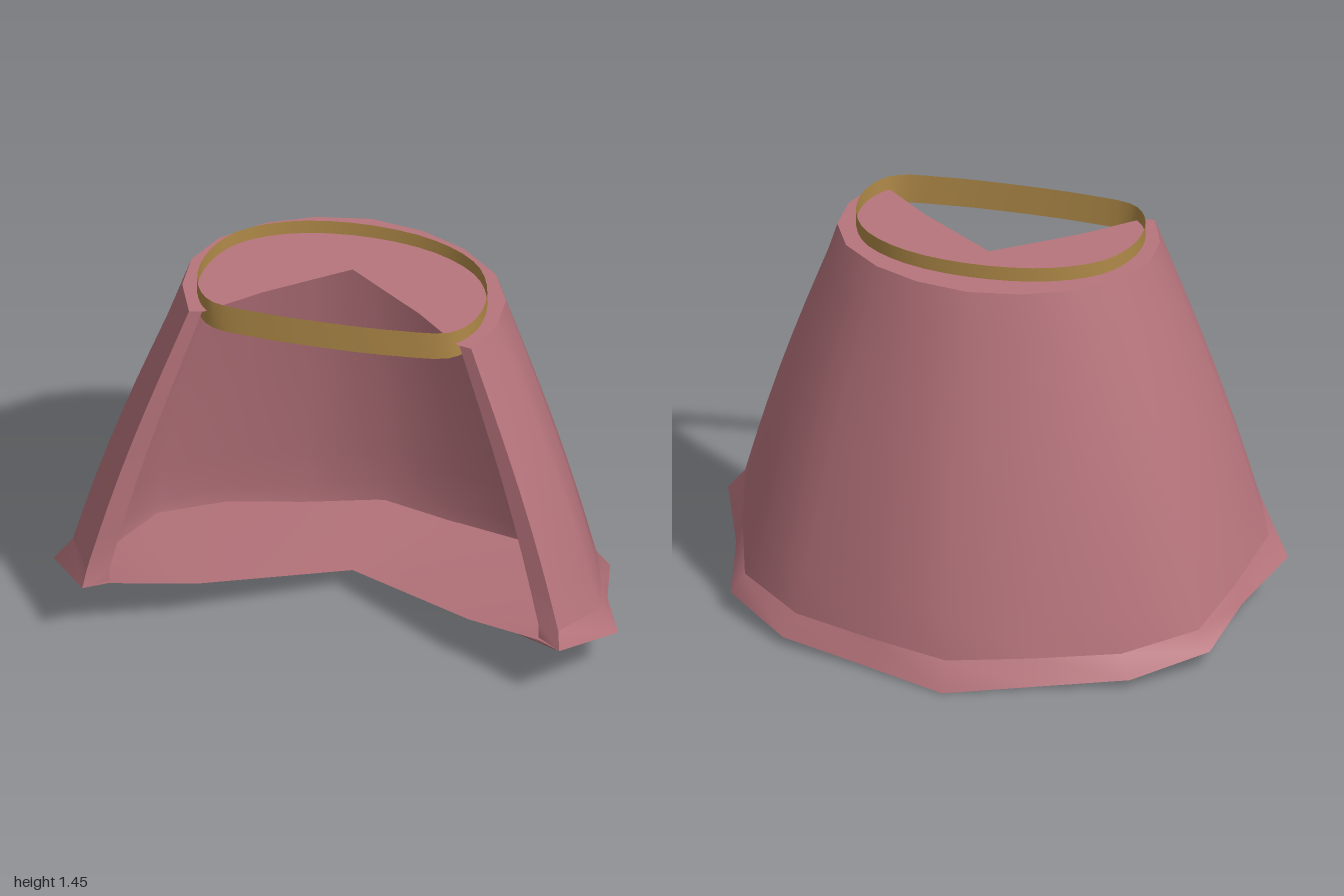
import * as THREE from 'three';

const cloth = new THREE.MeshStandardMaterial({ color: 0xb8757d, side: THREE.DoubleSide });
const gold = new THREE.MeshStandardMaterial({ color: 0xb08a48, side: THREE.DoubleSide });

const V = (p) => new THREE.Vector3(...p);

// Mirror a half outline (back centre to front edge) into a full open ring
const mirrored = (half) => [
  ...half.slice(1).reverse().map(([x, y, z]) => V([-x, y, z])),
  ...half.map(V),
];

// Surface through rings holding equal numbers of points
function loft(name, rings, material, closed = false) {
  const n = rings[0].length;
  const index = [];
  for (let r = 0; r < rings.length - 1; r++) {
    for (let j = 0; j < (closed ? n : n - 1); j++) {
      const a = r * n + j, b = r * n + ((j + 1) % n);
      index.push(a, a + n, b, b, a + n, b + n);
    }
  }
  const geometry = new THREE.BufferGeometry().setFromPoints(rings.flat());
  geometry.setIndex(index);
  geometry.computeVertexNormals();
  const mesh = new THREE.Mesh(geometry, material);
  mesh.name = name;
  return mesh;
}

export function createModel() {
  const group = new THREE.Group();
  group.name = 'openSkirt';

  // Waist, lower wall and flared hem, each from back centre to front edge
  const TOP = 1.397;
  const waist = mirrored([
    [0, TOP, -0.23], [0.19, TOP, -0.2], [0.35, TOP, -0.13], [0.49, TOP, -0.01],
    [0.557, TOP, 0.13], [0.557, TOP, 0.28], [0.5, TOP, 0.43],
  ]);
  const lower = mirrored([
    [0, 0.1, -0.53], [0.29, 0.1, -0.44], [0.58, 0.11, -0.35], [0.81, 0.14, -0.17],
    [0.88, 0.2, 0.07], [0.935, 0.27, 0.32], [0.835, 0.32, 0.55],
  ]);
  const hem = mirrored([
    [0, 0, -0.585], [0.31, 0.01, -0.475], [0.62, 0.03, -0.385], [0.855, 0.07, -0.19],
    [0.903, 0.125, 0.07], [1, 0.185, 0.335], [0.845, 0.257, 0.58],
  ]);

  // Outer wall with a slight outward swell
  const rows = 8;
  const outer = [];
  for (let i = 0; i <= rows; i++) {
    const t = i / rows;
    const swell = 1 + 0.025 * Math.sin(Math.PI * t);
    outer.push(waist.map((p, j) => {
      const q = p.clone().lerp(lower[j], t);
      q.x *= swell;
      if (q.z < 0) q.z *= swell;
      return q;
    }));
  }
  group.add(loft('outerWall', outer, cloth));
  group.add(loft('hemFlare', [lower, hem], cloth));

  // Inner lining, inset from the outer wall and reaching the underside
  const inset = (p) => V([p.x * 0.91, p.y, (p.z - 0.3) * 0.91 + 0.3]);
  const inner = outer.map((ring) => ring.map(inset));
  const innerHem = lower.map((p, j) => inset(p).setY(hem[j].y + 0.008));
  inner.push(innerHem);
  group.add(loft('innerLining', inner, cloth));

  // Narrow strips closing the front edges
  for (const [name, j] of [['rightFrontEdge', 0], ['leftFrontEdge', 12]]) {
    const outerEdge = [...outer.map((r) => r[j]), hem[j]];
    const innerEdge = inner.map((r) => r[j]);
    group.add(loft(name, [outerEdge, innerEdge], cloth));
  }

  // Notched panels closing the waist and the underside
  const notch = (tip, mid, end) => {
    const half = [];
    for (let j = 0; j <= 6; j++) {
      const [a, b] = j < 3 ? [tip, mid] : [mid, end];
      half.push(V(a).lerp(V(b), (j < 3 ? j : j - 3) / 3).toArray());
    }
    return mirrored(half);
  };
  const topNotch = notch([0, TOP, 0.07], [0.28, TOP, 0.27], [0.45, TOP, 0.42]);
  const baseNotch = notch([0, 0.1, 0.07], [0.48, 0.19, 0.38], [0.765, 0.255, 0.53]);
  group.add(loft('waistPanel', [topNotch, waist], cloth));
  group.add(loft('undersidePanel', [hem, baseNotch], cloth));

  // Thin waistband, nearly flat across the front
  const half = [
    [0, 0, -0.125], [0.26, 0, -0.085], [0.43, 0, 0.02], [0.5, 0, 0.17],
    [0.495, 0, 0.32], [0.43, 0, 0.42], [0.25, 0, 0.452],
  ];
  const path = new THREE.CatmullRomCurve3([...mirrored(half), V([0, 0, 0.46])], true);
  const loop = path.getPoints(48).slice(0, 48);
  const band = [1.45, 1.34].map((y) => loop.map((p) => p.clone().setY(y)));
  group.add(loft('waistband', band, gold, true));

  return group;
}
